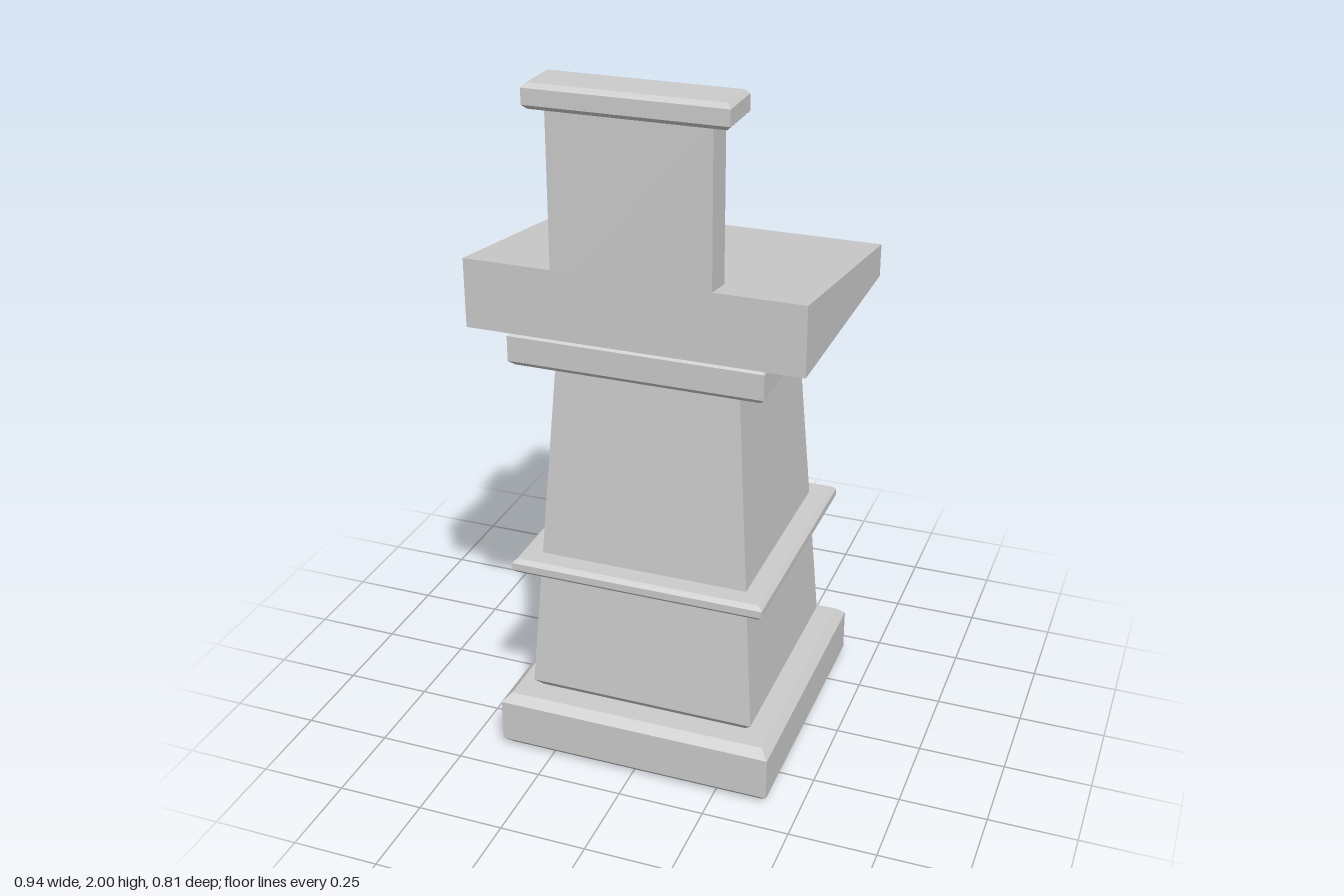
import * as THREE from 'three';

const material = new THREE.MeshStandardMaterial({ color: 0xcccccc, flatShading: true });

// Rectangular solid lofted through rings of [y, halfWidth, halfDepth]
function loft(name, rings, z = 0) {
  const pos = [];
  const corners = rings.map(([y, w, d]) => [[-w, y, z + d], [w, y, z + d], [w, y, z - d], [-w, y, z - d]]);
  const quad = (a, b, c, d) => pos.push(...a, ...b, ...c, ...a, ...c, ...d);
  for (let i = 0; i < corners.length - 1; i++) {
    const lo = corners[i], hi = corners[i + 1];
    for (let k = 0; k < 4; k++) {
      const n = (k + 1) % 4;
      quad(lo[k], lo[n], hi[n], hi[k]);
    }
  }
  const [b0, b1, b2, b3] = corners[0];
  quad(b3, b2, b1, b0);
  quad(...corners[corners.length - 1]);
  const geo = new THREE.BufferGeometry();
  geo.setAttribute('position', new THREE.Float32BufferAttribute(pos, 3));
  geo.computeVertexNormals();
  const mesh = new THREE.Mesh(geo, material);
  mesh.name = name;
  return mesh;
}

// Slab with chamfered top and bottom edges
function slab(name, y0, y1, w, d, bevel, z = 0) {
  return loft(name, [
    [y0, w - bevel, d - bevel],
    [y0 + bevel, w, d],
    [y1 - bevel, w, d],
    [y1, w - bevel, d - bevel],
  ], z);
}

export function createModel() {
  const group = new THREE.Group();
  group.name = 'lectern';

  // Plinth, tapered column and its mouldings
  group.add(slab('plinth', 0, 0.175, 0.405, 0.405, 0.024));
  group.add(loft('column', [[0.175, 0.31, 0.31], [0.2, 0.332, 0.332], [1.22, 0.26, 0.26]]));
  group.add(slab('middleMoulding', 0.575, 0.62, 0.368, 0.368, 0.012));
  group.add(slab('collar', 1.215, 1.315, 0.357, 0.357, 0.014));

  // Sloping desk top: high at the front, low at the back
  const deskGeo = new THREE.BoxGeometry(0.936, 1, 0.736);
  const p = deskGeo.attributes.position;
  for (let i = 0; i < p.count; i++) {
    const top = p.getZ(i) > 0 ? 1.51 : 1.41;
    p.setY(i, p.getY(i) > 0 ? top : 1.315);
  }
  deskGeo.computeVertexNormals();
  const desk = new THREE.Mesh(deskGeo, material);
  desk.name = 'slopedDesk';
  group.add(desk);

  // Upright panel flush with the front of the desk, and its cap
  group.add(loft('uprightPanel', [[1.45, 0.22, 0.047], [1.94, 0.22, 0.047]], 0.321));
  group.add(slab('panelCap', 1.933, 2, 0.271, 0.074, 0.012, 0.319));

  return group;
}
